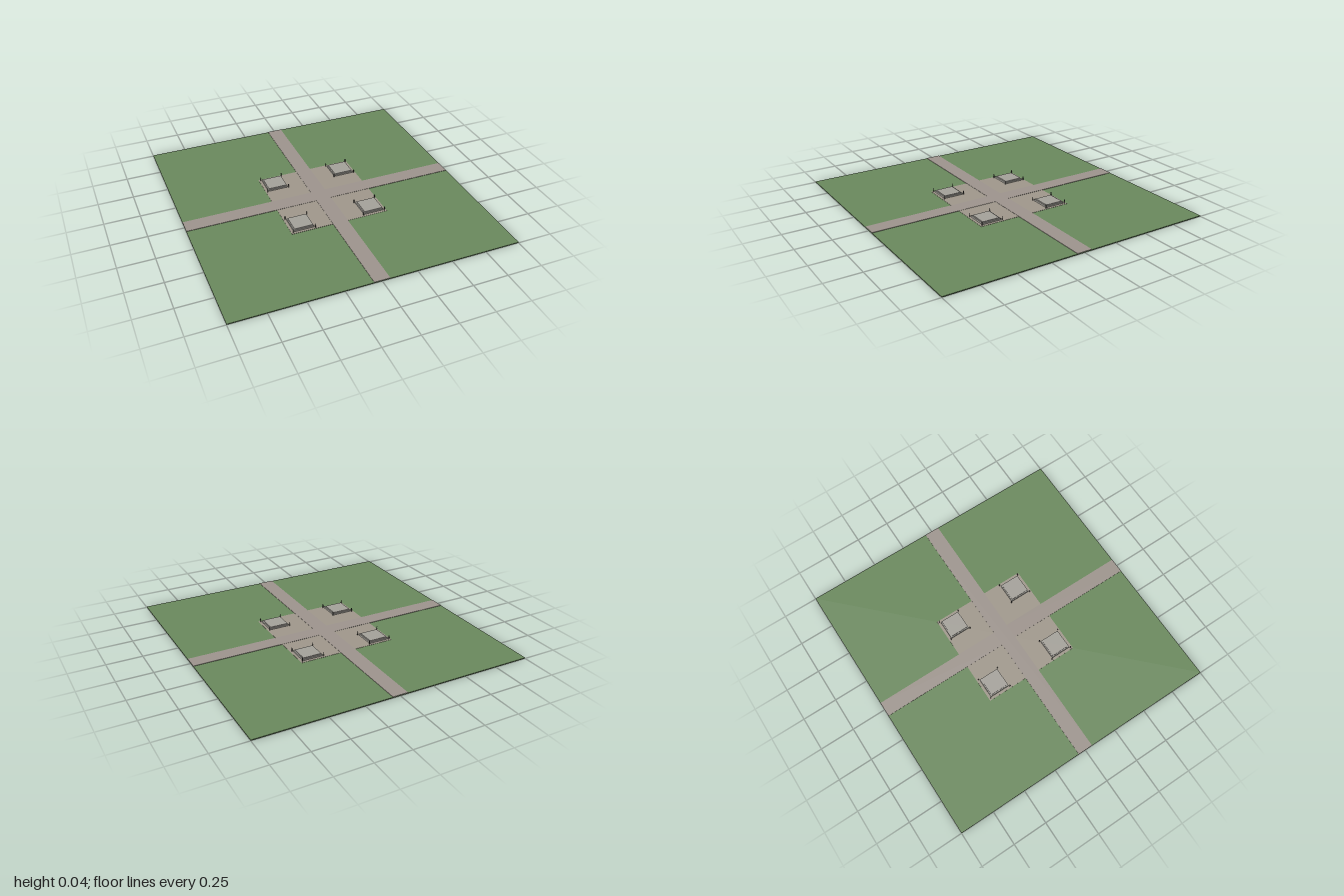
import * as THREE from 'three';

export function createModel() {
  const model = new THREE.Group();
  const paint = (color) => new THREE.MeshStandardMaterial({ color });
  const grass = paint(0x6b8a5e);
  const paving = paint(0xa0988c);
  const pathStone = paint(0x9e958e);
  const stone = paint(0xa5a29b);
  const dark = paint(0x4a4845);

  // Box placed by its centre in plan and its bottom and top heights
  function slab(parent, name, material, w, d, y0, y1, x = 0, z = 0) {
    const mesh = new THREE.Mesh(new THREE.BoxGeometry(w, y1 - y0, d), material);
    mesh.position.set(x, (y0 + y1) / 2, z);
    mesh.name = name;
    parent.add(mesh);
    return mesh;
  }

  // Lawn, central plaza and the two crossing paths
  slab(model, 'lawn', grass, 2, 2, 0, 0.006);
  slab(model, 'plaza', paving, 0.706, 0.706, 0.005, 0.0075);
  slab(model, 'pathAcross', pathStone, 2, 0.11, 0.005, 0.009);
  for (const s of [-1, 1]) {
    slab(model, 'pathAlong', pathStone, 0.11, 0.945, 0.005, 0.009, 0, s * 0.5275);
  }

  // One raised stone platform with a corner post at each corner
  function platform(x, z) {
    const group = new THREE.Group();
    group.name = 'platform';
    group.position.set(x, 0, z);
    slab(group, 'plinth', stone, 0.146, 0.146, 0.007, 0.0195);
    slab(group, 'plinthTop', stone, 0.13, 0.13, 0.0195, 0.024);
    for (const px of [-1, 1]) {
      for (const pz of [-1, 1]) {
        slab(group, 'cornerPost', dark, 0.004, 0.004, 0.007, 0.036, px * 0.08, pz * 0.08);
      }
    }
    model.add(group);
  }
  for (const x of [-0.26, 0.26]) {
    for (const z of [-0.26, 0.26]) platform(x, z);
  }

  return model;
}
